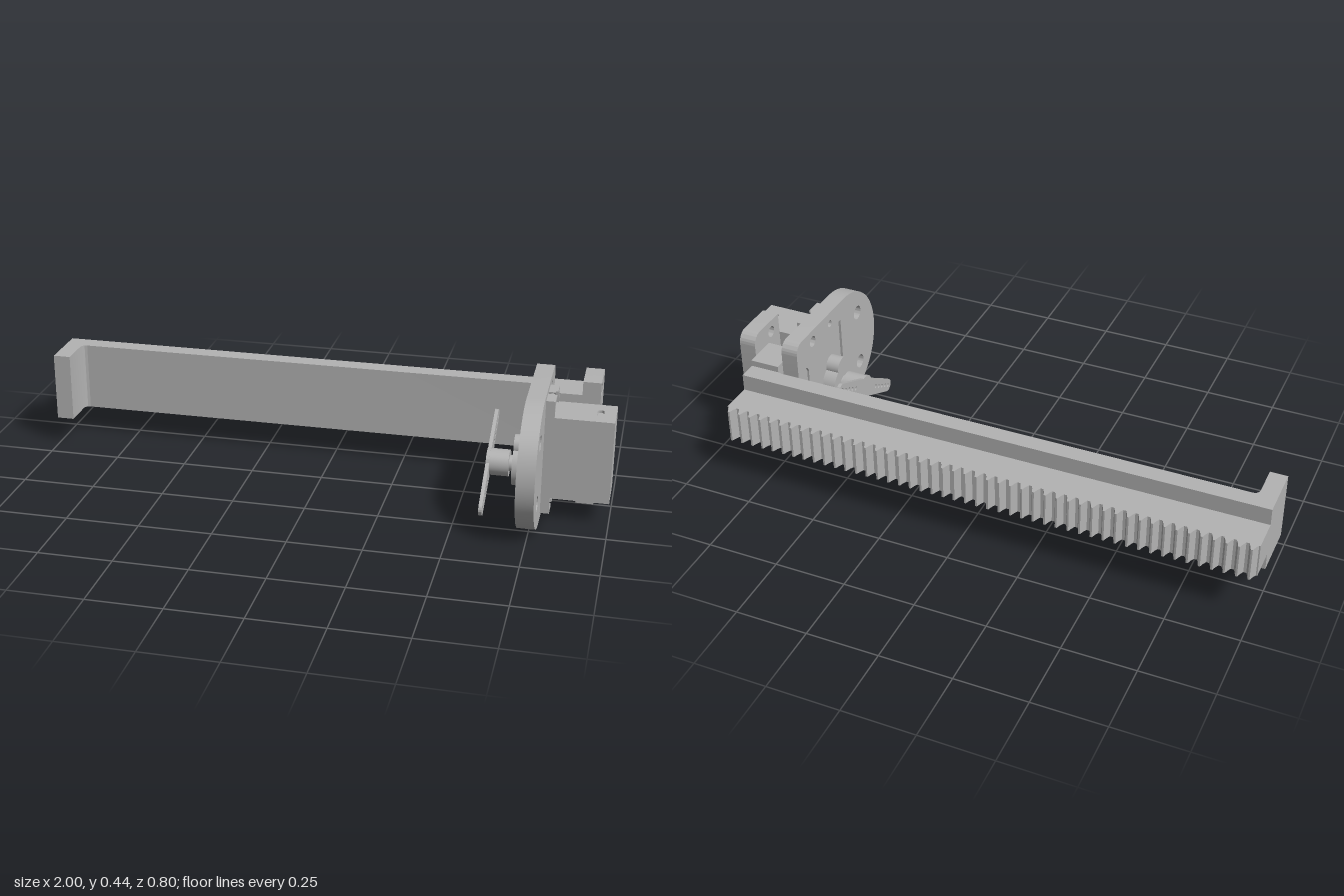
import * as THREE from 'three';
import { toCreasedNormals } from 'three/addons/utils/BufferGeometryUtils.js';

const PI = Math.PI;

export function createModel() {
  const model = new THREE.Group();
  model.name = 'rackAndServo';
  const grey = new THREE.MeshStandardMaterial({ color: 0xb3b3b3 });
  grey.name = 'plainGrey';

  function add(name, geo, parent = model) {
    const mesh = new THREE.Mesh(geo, grey);
    mesh.name = name;
    parent.add(mesh);
    return mesh;
  }
  // Box given by its limits
  function box(name, x0, x1, y0, y1, z0, z1, parent) {
    const g = new THREE.BoxGeometry(x1 - x0, y1 - y0, z1 - z0);
    g.translate((x0 + x1) / 2, (y0 + y1) / 2, (z0 + z1) / 2);
    return add(name, g, parent);
  }
  const extrude = (shape, depth) => toCreasedNormals(
    new THREE.ExtrudeGeometry(shape, { depth, bevelEnabled: false, curveSegments: 24 }), 0.5);
  // Shape drawn in (-z, y), extruded along x
  const alongX = (shape, x0, x1) => extrude(shape, x1 - x0).rotateY(PI / 2).translate(x0, 0, 0);
  // Shape drawn in (x, -z), extruded along y
  const alongY = (shape, y0, y1) => extrude(shape, y1 - y0).rotateX(-PI / 2).translate(0, y0, 0);
  // Round bar along x
  function rod(name, x0, x1, y, z, r, parent) {
    const g = new THREE.CylinderGeometry(r, r, x1 - x0, 32).rotateZ(PI / 2);
    return add(name, g.translate((x0 + x1) / 2, y, z), parent);
  }
  const circle = (u, v, r) => new THREE.Path().absarc(u, v, r, 0, 2 * PI, false);
  const rect = (u0, u1, v0, v1, Type = THREE.Path) => new Type()
    .moveTo(u0, v0).lineTo(u1, v0).lineTo(u1, v1).lineTo(u0, v1).closePath();
  const slot = (u, v0, v1, r, Type = THREE.Path) => new Type()
    .absarc(u, v1 - r, r, 0, PI, false).absarc(u, v0 + r, r, PI, 2 * PI, false).closePath();

  // Toothed rack
  const rack = new THREE.Group();
  rack.name = 'rack';
  model.add(rack);
  const base = new THREE.Shape();
  base.moveTo(-1, 0.26).lineTo(-1, 0.075).lineTo(-0.94, 0.075).lineTo(-0.94, 0.18);
  base.absarc(-0.92, 0.18, 0.02, PI, PI / 2, true);
  base.absarc(0.76, 0.18, 0.02, PI / 2, 0, true);
  base.lineTo(0.88, 0.18).lineTo(0.88, 0.26).closePath();
  add('rackBase', alongY(base, 0.1, 0.34), rack);

  const teeth = new THREE.Shape();
  const count = 47, pitch = 1.88 / count;
  teeth.moveTo(-1, 0.26).lineTo(0.88, 0.26).lineTo(0.88, 0.37);
  for (let i = count - 1; i >= 0; i--) {
    const x = -1 + i * pitch;
    for (const [t, u] of [[0.88, 0.37], [0.72, 0.382], [0.58, 0.398], [0.42, 0.398], [0.28, 0.382], [0.12, 0.37]])
      teeth.lineTo(x + t * pitch, u);
  }
  teeth.lineTo(-1, 0.37).closePath();
  add('rackTeeth', alongY(teeth, 0.16, 0.28), rack);

  // Mounting block at the rack end, with its locating tabs
  box('mountBlock', 0.775, 0.88, 0.075, 0.362, -0.197, -0.075, rack);
  const tab = slot(0.115, 0.127, 0.316, 0.018, THREE.Shape);
  add('mountTab', alongX(tab, 0.72, 0.935), rack);

  // Rounded front plate with servo window and holes
  const plate = new THREE.Shape();
  plate.moveTo(-0.18, 0).lineTo(0.125, 0);
  plate.absarc(0.125, 0.04, 0.04, -PI / 2, 0, false);
  plate.absarc(0.125, 0.399, 0.04, 0, PI / 2, false);
  plate.absarc(-0.18, 0.2195, 0.2195, PI / 2, 1.5 * PI, false);
  plate.holes.push(rect(-0.15, 0.002, 0.072, 0.369), slot(0.115, 0.124, 0.319, 0.021));
  for (const v of [0.115, 0.327]) plate.holes.push(circle(-0.275, v, 0.026));
  for (const v of [0.045, 0.396]) plate.holes.push(circle(0.053, v, 0.02), circle(-0.073, v, 0.013));
  add('servoPlate', alongX(plate, 0.715, 0.775));

  // Clamping plate behind the block
  const clamp = new THREE.Shape();
  clamp.moveTo(0, 0).lineTo(0.125, 0);
  clamp.absarc(0.125, 0.04, 0.04, -PI / 2, 0, false);
  clamp.absarc(0.125, 0.399, 0.04, 0, PI / 2, false);
  clamp.lineTo(0, 0.439).closePath();
  clamp.holes.push(slot(0.115, 0.124, 0.319, 0.021));
  for (const v of [0.045, 0.396]) clamp.holes.push(circle(0.053, v, 0.02));
  add('clampPlate', alongX(clamp, 0.88, 0.94));

  // Servo case: core, top with cable slot, back cap with screws
  const servo = new THREE.Group();
  servo.name = 'servo';
  model.add(servo);
  box('servoCore', 0.722, 0.985, 0.077, 0.355, 0.001, 0.147, servo);
  const top = rect(0.722, 0.985, -0.147, -0.001, THREE.Shape);
  top.holes.push(slot(0.947, -0.1, -0.048, 0.011));
  add('servoTop', alongY(top, 0.355, 0.364), servo);
  const cap = rect(-0.147, -0.001, 0.077, 0.364, THREE.Shape);
  for (const z of [0.014, 0.133]) for (const y of [0.092, 0.349]) {
    cap.holes.push(circle(-z, y, 0.012));
    rod('caseScrew', 0.984, 0.993, y, z, 0.008, servo);
  }
  add('servoBackCap', alongX(cap, 0.985, 0.998), servo);

  // Mounting ears with open screw holes and a raised rim, top and bottom
  for (const side of [1, -1]) {
    const ear = new THREE.Group();
    ear.name = side > 0 ? 'upperEar' : 'lowerEar';
    servo.add(ear);
    const Y = v => 0.2205 + side * v;
    const s = new THREE.Shape();
    const a = PI / 2 - 0.28;
    s.moveTo(-0.147, Y(0.14)).lineTo(-0.001, Y(0.14)).lineTo(-0.001, Y(0.2));
    s.lineTo(-0.067, Y(0.2));
    s.absarc(-0.073, Y(0.175), 0.022, side * a, side * (PI - a), side > 0);
    s.lineTo(-0.079, Y(0.2)).lineTo(-0.147, Y(0.2)).closePath();
    add('earPlate', alongX(s, 0.775, 0.798), ear);
    const bar = (n, v0, v1, z0, z1) =>
      box(n, 0.798, 0.805, Math.min(Y(v0), Y(v1)), Math.max(Y(v0), Y(v1)), z0, z1, ear);
    bar('earRim', 0.14, 0.2, 0.001, 0.011);
    bar('earRim', 0.14, 0.2, 0.137, 0.147);
    bar('earRim', 0.188, 0.2, 0.011, 0.057);
    bar('earRim', 0.188, 0.2, 0.089, 0.137);
  }

  // Gear tower and output shaft
  rod('gearTower', 0.674, 0.722, 0.157, 0.073, 0.072, servo);
  rod('idlerTower', 0.674, 0.722, 0.225, 0.073, 0.036, servo);
  rod('outputShaft', 0.65, 0.674, 0.157, 0.073, 0.027, servo);
  rod('hornHub', 0.596, 0.66, 0.157, 0.073, 0.045, servo);

  // Slanted two-armed horn
  const horn = new THREE.Shape();
  horn.absarc(0.193, 0, 0.023, -PI / 2, PI / 2, false);
  horn.absarc(0, 0, 0.046, 0.8, PI - 0.8, false);
  horn.absarc(-0.193, 0, 0.023, PI / 2, 1.5 * PI, false);
  horn.absarc(0, 0, 0.046, PI + 0.8, 2 * PI - 0.8, false);
  horn.closePath();
  for (const side of [-1, 1])
    for (let i = 0; i < 5; i++) horn.holes.push(circle(side * (0.085 + i * 0.027), 0, 0.007));
  const arm = extrude(horn, 0.012).rotateZ(0.517).rotateY(PI / 2).translate(0.585, 0.157, 0.073);
  add('servoHorn', arm, servo);

  return model;
}
